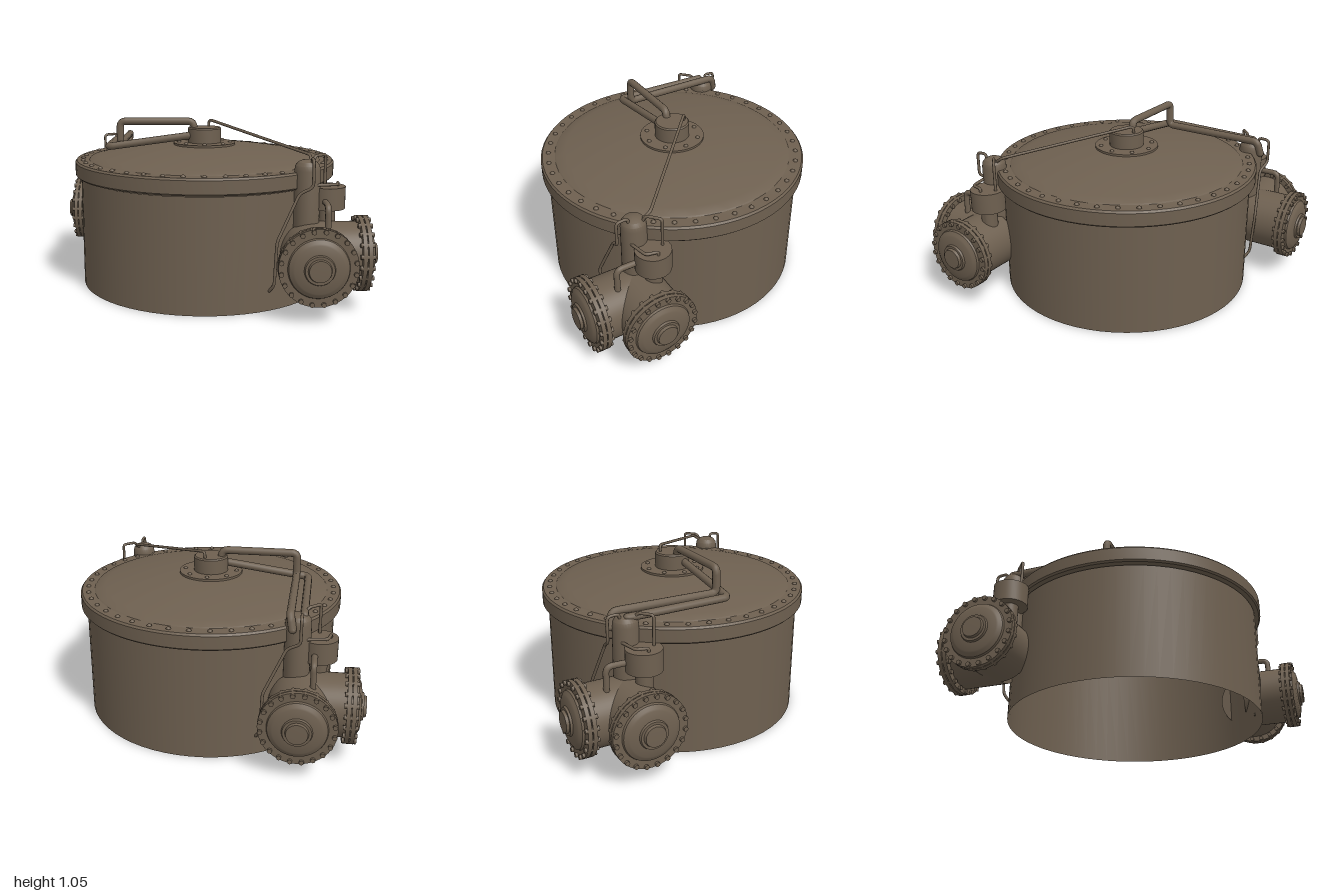
import * as THREE from 'three';
import { toCreasedNormals } from 'three/addons/utils/BufferGeometryUtils.js';

const metal = new THREE.MeshStandardMaterial({ color: 0x6e6050, side: THREE.DoubleSide });
metal.name = 'dull bronze';

function add(parent, name, geometry, x = 0, y = 0, z = 0) {
  const mesh = new THREE.Mesh(geometry, metal);
  mesh.name = name;
  mesh.position.set(x, y, z);
  parent.add(mesh);
  return mesh;
}

// Turned part with crisp edges, from [radius, height] pairs
function turned(points, segments = 48) {
  const profile = points.map(([r, h]) => new THREE.Vector2(r, h));
  return toCreasedNormals(new THREE.LatheGeometry(profile, segments), 0.5);
}

// Pipe through corner points with rounded bends
function pipe(parent, name, radius, bend, corners) {
  const p = corners.map((c) => new THREE.Vector3(...c));
  const path = new THREE.CurvePath();
  let from = p[0];
  for (let i = 1; i < p.length - 1; i++) {
    const toPrev = p[i - 1].clone().sub(p[i]);
    const toNext = p[i + 1].clone().sub(p[i]);
    const b = Math.min(bend, toPrev.length() * 0.45, toNext.length() * 0.45);
    const start = p[i].clone().addScaledVector(toPrev.normalize(), b);
    const end = p[i].clone().addScaledVector(toNext.normalize(), b);
    path.add(new THREE.LineCurve3(from, start));
    path.add(new THREE.QuadraticBezierCurve3(start, p[i], end));
    from = end;
  }
  path.add(new THREE.LineCurve3(from, p[p.length - 1]));
  add(parent, name, new THREE.TubeGeometry(path, 90, radius, 10, false));
  // Closed ends
  for (const end of [p[0], p[p.length - 1]]) {
    add(parent, name + 'End', new THREE.SphereGeometry(radius, 10, 6), end.x, end.y, end.z);
  }
}

// Ring of rounded bolts standing on a horizontal surface
function boltRing(parent, name, count, ringRadius, y, size) {
  const dome = new THREE.SphereGeometry(size, 10, 5, 0, Math.PI * 2, 0, Math.PI / 2);
  for (let i = 0; i < count; i++) {
    const a = (i / count) * Math.PI * 2;
    add(parent, name, dome, Math.sin(a) * ringRadius, y, Math.cos(a) * ringRadius);
  }
}

// Short barrel with a bolted end cover, built along +y
function barrel() {
  const g = new THREE.Group();
  g.name = 'valveBarrel';
  add(g, 'barrelAndCover', turned([
    [0, 0], [0.185, 0], [0.185, 0.262], [0.22, 0.262], [0.22, 0.286], [0.205, 0.286],
    [0.205, 0.292], [0.22, 0.292], [0.22, 0.316], [0.17, 0.316], [0.165, 0.328],
    [0.145, 0.34], [0.135, 0.345], [0.085, 0.35], [0.08, 0.362], [0.065, 0.362],
    [0.06, 0.378], [0, 0.38],
  ]));
  const bolt = new THREE.CylinderGeometry(0.014, 0.014, 0.082, 8);
  const count = 20;
  for (let i = 0; i < count; i++) {
    const a = ((i + 0.5) / count) * Math.PI * 2;
    add(g, 'coverBolt', bolt, Math.sin(a) * 0.206, 0.289, Math.cos(a) * 0.206);
  }
  return g;
}

// Corner valve unit: two barrels, tank, side pot and small pipes
function valveUnit() {
  const g = new THREE.Group();
  g.name = 'valveUnit';
  const front = barrel();
  front.position.set(0.62, 0.325, 0.62);
  front.rotation.x = Math.PI / 2;
  const side = barrel();
  side.position.set(0.62, 0.325, 0.62);
  side.rotation.z = -Math.PI / 2;
  g.add(front, side);

  add(g, 'tank', turned([
    [0, 0.46], [0.075, 0.46], [0.075, 0.81], [0.07, 0.838], [0.055, 0.858], [0.03, 0.869], [0, 0.873],
  ], 28), 0.59, 0, 0.6);
  add(g, 'sidePot', turned([
    [0, 0.44], [0.05, 0.44], [0.05, 0.58], [0.105, 0.58], [0.105, 0.71], [0, 0.71],
  ], 32), 0.715, 0, 0.55);

  pipe(g, 'feedPipe', 0.018, 0.04,
    [[0.69, 0.46, 0.765], [0.69, 0.632, 0.765], [0.69, 0.632, 0.6]]);
  pipe(g, 'potPipe', 0.009, 0.02,
    [[0.62, 0.83, 0.57], [0.64, 0.885, 0.55], [0.71, 0.885, 0.487], [0.71, 0.7, 0.487]]);
  pipe(g, 'linkPipe', 0.009, 0.02,
    [[0.64, 0.73, 0.645], [0.76, 0.73, 0.62], [0.775, 0.73, 0.55], [0.775, 0.7, 0.55]]);
  pipe(g, 'drainPipe', 0.009, 0.025,
    [[0.61, 0.84, 0.64], [0.61, 0.885, 0.645], [0.61, 0.88, 0.715], [0.61, 0.73, 0.715],
      [0.535, 0.69, 0.7], [0.41, 0.42, 0.74], [0.4, 0.16, 0.725], [0.375, 0.12, 0.7]]);
  return g;
}

export function createModel() {
  const model = new THREE.Group();
  model.name = 'vessel';

  // Open-bottomed drum
  add(model, 'drum', new THREE.CylinderGeometry(0.795, 0.795, 0.692, 64, 1, true), 0, 0.346, 0);

  // Lid: rim and shallow dome in one profile
  const lid = [[0.745, 0.7], [0.82, 0.7], [0.83, 0.71], [0.83, 0.788], [0.82, 0.8], [0.742, 0.8], [0.735, 0.806]];
  for (let i = 1; i <= 12; i++) {
    const r = 0.735 * (1 - i / 12);
    lid.push([r, 0.806 + 0.083 * (1 - (r / 0.735) ** 2)]);
  }
  add(model, 'lid', turned(lid, 72));
  boltRing(model, 'rimBolt', 42, 0.782, 0.798, 0.015);

  // Centre hub
  add(model, 'hub', turned([
    [0.2, 0.87], [0.2, 0.896], [0.108, 0.896], [0.108, 0.985], [0.1, 0.993], [0, 0.993],
  ], 40));
  boltRing(model, 'hubBolt', 8, 0.165, 0.894, 0.014);

  // Lid pipework
  pipe(model, 'upperPipe', 0.024, 0.035,
    [[-0.06, 0.96, 0], [-0.075, 1.03, 0], [-0.545, 1.03, 0], [-0.545, 0.88, 0],
      [-0.545, 0.88, -0.66], [-0.56, 0.8, -0.68]]);
  pipe(model, 'lowerPipe', 0.024, 0.035,
    [[-0.07, 0.945, 0.035], [-0.62, 0.87, 0.035], [-0.62, 0.86, -0.6]]);
  pipe(model, 'controlRod', 0.009, 0.025,
    [[0.025, 0.97, -0.07], [0.03, 1.035, -0.07], [0.62, 0.885, 0.51], [0.61, 0.84, 0.57]]);

  // Valve units on opposite corners
  const frontUnit = valveUnit();
  const backUnit = valveUnit();
  backUnit.rotation.y = Math.PI;
  model.add(frontUnit, backUnit);
  return model;
}
